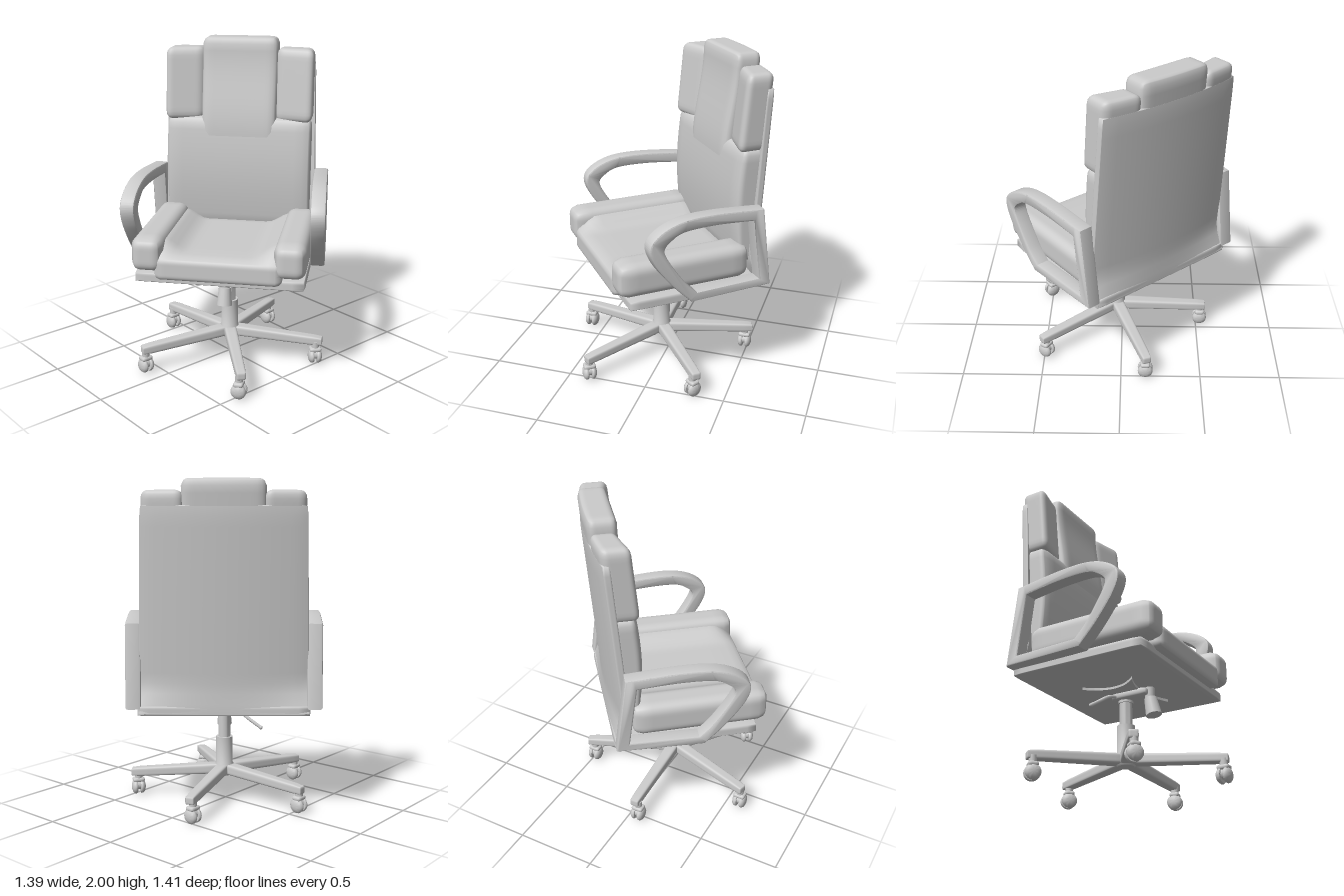
import * as THREE from 'three';
import { mergeVertices, toCreasedNormals } from 'three/addons/utils/BufferGeometryUtils.js';

const grey = new THREE.MeshStandardMaterial({ color: 0xcccccc });
const { lerp, smoothstep, clamp, degToRad } = THREE.MathUtils;

function add(parent, name, geometry, x = 0, y = 0, z = 0) {
  const mesh = new THREE.Mesh(geometry, grey);
  mesh.name = name;
  mesh.position.set(x, y, z);
  parent.add(mesh);
  return mesh;
}

// Rounded, subdivided block whose vertices can be moved by a rule
function cushion(w, h, d, r, rule, n = 14) {
  let g = new THREE.BoxGeometry(w, h, d, n, n, n);
  g.deleteAttribute('uv');
  g.deleteAttribute('normal');
  const p = g.attributes.position, v = new THREE.Vector3(), c = new THREE.Vector3();
  const inner = new THREE.Vector3(w / 2 - r, h / 2 - r, d / 2 - r);
  const low = inner.clone().negate();
  for (let i = 0; i < p.count; i++) {
    v.fromBufferAttribute(p, i);
    c.copy(v).clamp(low, inner);
    v.sub(c).normalize().multiplyScalar(r).add(c);
    if (rule) rule(v);
    p.setXYZ(i, v.x, v.y, v.z);
  }
  g = mergeVertices(g, 1e-5);
  g.computeVertexNormals();
  return g;
}

// Surface of the backrest: it leans back and wraps around the sitter
const backZ = (x, y) => -0.415 - 0.08 * (y - 0.8) / 1.05 - 0.045 * (1 - (x / 0.47) ** 2);

// Pad filling the space from the backrest surface to a given front surface
function backPad(x, width, y0, y1, r, front) {
  return cushion(width, y1 - y0, 0.2, r, v => {
    v.x += x;
    v.y += (y0 + y1) / 2;
    v.z = lerp(backZ(v.x, v.y), front(v.x, v.y), (v.z + 0.1) / 0.2);
  }, 18);
}

function buildSeat(chair) {
  // Pan, shallower towards its rim
  add(chair, 'seatPan', cushion(1.02, 0.1, 0.87, 0.02, v => {
    const rim = Math.max(Math.abs(v.x) / 0.51, Math.abs(v.z) / 0.435);
    if (v.y < 0) v.y *= 1 - 0.75 * rim ** 3;
  }), 0, 0.645, -0.035);
  // Centre cushion rising into the bolsters, with a drooping front lip
  add(chair, 'seatCushion', cushion(0.76, 0.15, 0.8, 0.04, v => {
    if (v.z > 0.2) v.y -= 0.25 * (v.z - 0.2) ** 2;
    if (v.y > 0) v.y += 0.07 * smoothstep(Math.abs(v.x), 0.2, 0.36) * smoothstep(0.4 - v.z, 0, 0.12);
  }, 20), 0, 0.745, 0.055);
  for (const s of [-1, 1])
    add(chair, 'seatBolster', cushion(0.19, 0.21, 0.82, 0.06), s * 0.423, 0.815, 0.05);
}

function buildBack(chair) {
  // Shell, flattening out where it meets the pan
  add(chair, 'backShell', cushion(1.01, 1.21, 0.05, 0.015, v => {
    v.y += 1.245;
    v.x *= 1 - 0.06 * (v.y - 0.64) / 1.21;
    v.z += lerp(backZ(v.x, v.y) + 0.02, -0.45, clamp((0.8 - v.y) / 0.14, 0, 1));
  }, 20));
  // One wide lower pad, a headrest rising from it, and a wing on each side
  add(chair, 'backLowerPad', backPad(0, 0.93, 0.78, 1.5, 0.05,
    (x, y) => -0.315 + 0.03 * Math.sin((y - 0.78) * 4.36)));
  add(chair, 'headrestPad', backPad(0, 0.48, 1.25, 2.0, 0.045,
    (x, y) => -0.3 - 0.07 * smoothstep(y, 1.38, 1.95)));
  for (const s of [-1, 1])
    add(chair, 'backWing', backPad(s * 0.35, 0.24, 1.48, 1.935, 0.045,
      (x, y) => -0.285 - 0.1 * (y - 1.48) - 0.25 * (0.47 - Math.abs(x))));
}

// Closed armrest loop: side outline with an opening, given depth across
function buildArms(chair) {
  // Curve from the foot of the front strut round to the top rear, then straight down
  const loop = (path, pts) => {
    const v = pts.map(p => new THREE.Vector2(...p));
    path.moveTo(v[0].x, v[0].y);
    path.splineThru(v.slice(1, -1));
    path.lineTo(v.at(-1).x, v.at(-1).y);
    path.closePath();
    return path;
  };
  const shape = loop(new THREE.Shape(), [[0.05, 0.68], [0.165, 0.8], [0.275, 0.95], [0.305, 1.06],
    [0.235, 1.135], [0.1, 1.18], [-0.1, 1.185], [-0.4, 1.16], [-0.46, 0.68]]);
  shape.holes.push(loop(new THREE.Path(), [[0.025, 0.715], [0.105, 0.8], [0.205, 0.95], [0.235, 1.035],
    [0.19, 1.09], [0.1, 1.13], [-0.1, 1.135], [-0.35, 1.115], [-0.4, 0.715]]));
  let g = new THREE.ExtrudeGeometry(shape, {
    depth: 0.062, bevelSize: 0.01, bevelThickness: 0.014, bevelSegments: 2, curveSegments: 30,
  });
  g.translate(0, 0, -0.031).rotateY(-Math.PI / 2);
  g = toCreasedNormals(g, 0.7);
  // The arms spread slightly towards the front
  for (const s of [-1, 1]) add(chair, 'armrest', g, s * 0.553, 0, 0).rotation.y = s * 0.05;
}

function buildMechanism(chair) {
  add(chair, 'tiltBox', cushion(0.13, 0.05, 0.24, 0.02, null, 6), 0, 0.57, 0.05);
  // Mounting plate with four spread corners
  const outline = new THREE.Shape();
  outline.moveTo(-0.22, -0.17);
  outline.quadraticCurveTo(0, -0.06, 0.22, -0.17);
  outline.quadraticCurveTo(0.06, 0, 0.22, 0.17);
  outline.quadraticCurveTo(0, 0.06, -0.22, 0.17);
  outline.quadraticCurveTo(-0.06, 0, -0.22, -0.17);
  const plate = new THREE.ExtrudeGeometry(outline, { depth: 0.03, bevelEnabled: false });
  add(chair, 'mountingPlate', plate.rotateX(-Math.PI / 2), 0, 0.582, 0);
  // Tension knob hanging below the front
  const knob = add(chair, 'tensionKnob', new THREE.CylinderGeometry(0.038, 0.048, 0.11, 16), 0, 0.48, 0.18);
  knob.rotation.x = -0.2;
  add(chair, 'knobStem', new THREE.CylinderGeometry(0.03, 0.03, 0.09, 12), 0, 0.555, 0.165);
  const lever = new THREE.CatmullRomCurve3([[0, 0.57, -0.02], [-0.1, 0.555, -0.05],
    [-0.17, 0.51, -0.08], [-0.23, 0.47, -0.1]].map(p => new THREE.Vector3(...p)));
  add(chair, 'heightLever', new THREE.TubeGeometry(lever, 16, 0.011, 8));
  add(chair, 'leverTip', new THREE.SphereGeometry(0.012, 10, 8), -0.23, 0.47, -0.1);
}

function buildBase(base) {
  const lathe = (profile, segments) => toCreasedNormals(
    new THREE.LatheGeometry(profile.map(p => new THREE.Vector2(...p)), segments), 0.8);
  add(base, 'gasColumn', lathe([[0, 0.14], [0.05, 0.14], [0.065, 0.16], [0.065, 0.2], [0.053, 0.22],
    [0.053, 0.39], [0.038, 0.39], [0.038, 0.53], [0.045, 0.53], [0.045, 0.58], [0, 0.58]], 24));

  const legGeometry = cushion(0.58, 0.05, 0.08, 0.014, v => {
    const t = (v.x + 0.29) / 0.58;
    v.x += 0.31;
    v.z *= 1 - 0.25 * t;
    v.y = v.y * (1.35 - 0.25 * t) + 0.182 - 0.034 * t;
  }, 10);
  // Wheel with a flat inner face and a domed outer one, axis along x
  const wheelGeometry = lathe([[0, 0], [0.042, 0], [0.047, 0.006], [0.046, 0.016],
    [0.036, 0.027], [0.018, 0.033], [0, 0.034]], 20).rotateZ(-Math.PI / 2);
  const wheelYaw = [-0.6, 0.6, 0, 0, 0];
  for (let i = 0; i < 5; i++) {
    const angle = degToRad(52 + 72 * i);
    add(base, 'baseLeg', legGeometry).rotation.y = -angle;

    const caster = new THREE.Group();
    caster.name = 'caster';
    caster.position.set(0.565 * Math.cos(angle) - 0.012, 0, 0.565 * Math.sin(angle));
    caster.rotation.y = wheelYaw[i];
    base.add(caster);
    add(caster, 'casterStem', new THREE.CylinderGeometry(0.024, 0.024, 0.06, 12), 0, 0.115, 0);
    add(caster, 'casterHood', cushion(0.075, 0.03, 0.06, 0.014, null, 6), 0, 0.092, 0);
    const axle = new THREE.CylinderGeometry(0.03, 0.03, 0.024, 14).rotateZ(Math.PI / 2);
    add(caster, 'casterCore', axle, 0, 0.055, 0);
    for (const s of [-1, 1])
      add(caster, 'casterWheel', wheelGeometry, s * 0.01, 0.047, 0).rotation.y = s < 0 ? Math.PI : 0;
  }
}

export function createModel() {
  const model = new THREE.Group();
  model.name = 'officeChair';
  // The upper chair is swivelled on its base
  const chair = new THREE.Group(), base = new THREE.Group();
  chair.name = 'swivellingSeat';
  base.name = 'starBase';
  chair.rotation.y = -0.88;
  for (const g of [chair, base]) {
    g.position.set(-0.035, 0, 0.04);
    model.add(g);
  }
  buildSeat(chair);
  buildBack(chair);
  buildArms(chair);
  buildMechanism(chair);
  buildBase(base);
  return model;
}
